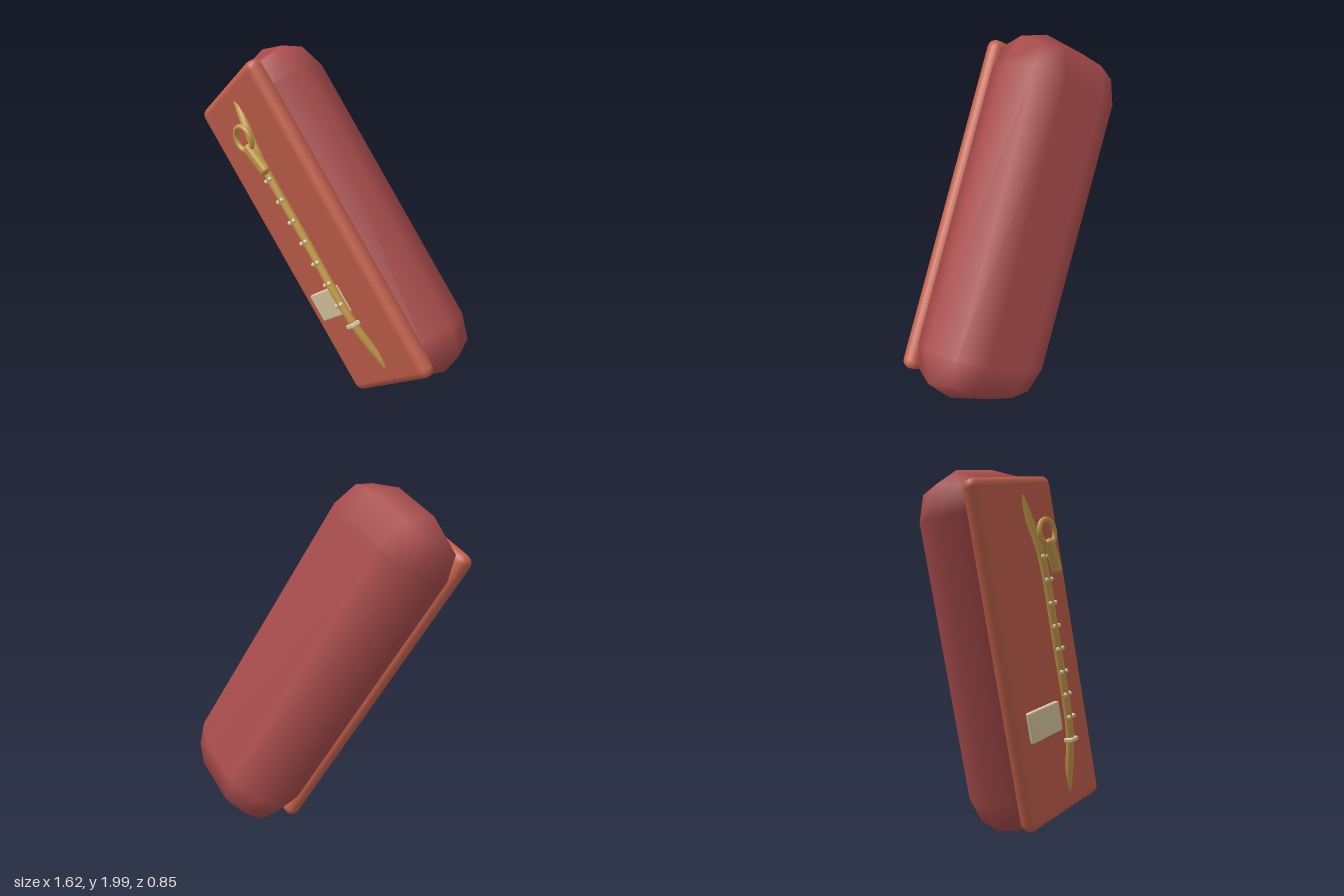
import * as THREE from 'three';
import { RoundedBoxGeometry } from 'three/addons/geometries/RoundedBoxGeometry.js';

const mat = (name, color) => {
  const m = new THREE.MeshStandardMaterial({ color });
  m.name = name;
  return m;
};

export function createModel() {
  const maroon = mat('maroon', 0xa94c4c);
  const rust = mat('rust', 0xc2604b);
  const gold = mat('gold', 0xc89c4c);
  const cream = mat('cream', 0xdccaa2);

  // The pouch is built upright (x across, y along, z out of the panel), then tilted.
  const pouch = new THREE.Group();
  pouch.name = 'pouch';
  const add = (name, geometry, material, x, y, z, turn = 0) => {
    const mesh = new THREE.Mesh(geometry, material);
    mesh.name = name;
    mesh.position.set(x, y, z);
    mesh.rotation.z = turn;
    pouch.add(mesh);
    return mesh;
  };

  // Padded body and front panel
  add('body', new RoundedBoxGeometry(0.8, 2.1, 0.5, 1, 0.25), maroon, 0, 0, -0.225);
  add('frontPanel', new RoundedBoxGeometry(0.7, 1.93, 0.1, 2, 0.0499), rust, 0, 0, 0);

  // Zip cord, its ends sinking into the panel
  const path = new THREE.CatmullRomCurve3([
    [0.045, -0.88, 0.02], [0.055, -0.7, 0.065], [0.065, -0.5, 0.098], [0.07, 0, 0.102],
    [0.068, 0.5, 0.098], [0.058, 0.7, 0.065], [0.048, 0.88, 0.02],
  ].map((p) => new THREE.Vector3(...p)));
  add('zipCord', new THREE.TubeGeometry(path, 48, 0.024, 10), gold, 0, 0, 0);

  // Zip teeth in pairs on both sides of the cord
  const tooth = new THREE.SphereGeometry(0.013, 10, 8);
  for (let i = 0; i < 8; i++) {
    for (const side of [-1, 1]) {
      add('zipTooth', tooth, cream, 0.07 + side * 0.022, 0.505 - i * 0.131, 0.122);
    }
  }
  add('zipStop', new RoundedBoxGeometry(0.07, 0.026, 0.06, 1, 0.008), cream, 0.064, -0.546, 0.1);

  // Zip pull with its ring
  add('zipPull', new RoundedBoxGeometry(0.06, 0.195, 0.05, 2, 0.02), gold, 0.109, 0.5, 0.145, 0.22);
  add('pullRing', new THREE.TorusGeometry(0.07, 0.015, 10, 28), gold, 0.092, 0.633, 0.143);

  // Small label
  add('label', new RoundedBoxGeometry(0.285, 0.172, 0.034, 2, 0.01), cream, -0.098, -0.398, 0.056);

  // Tilt the whole pouch
  const along = new THREE.Vector3(-0.539, 0.835, 0.111).normalize();
  const out = new THREE.Vector3(-0.148, -0.224, 0.963).normalize();
  const across = new THREE.Vector3().crossVectors(along, out).normalize();
  out.crossVectors(across, along);
  pouch.quaternion.setFromRotationMatrix(new THREE.Matrix4().makeBasis(across, along, out));
  pouch.position.set(-0.02, 0.97, 0.165);

  const model = new THREE.Group();
  model.name = 'model';
  model.add(pouch);
  return model;
}
